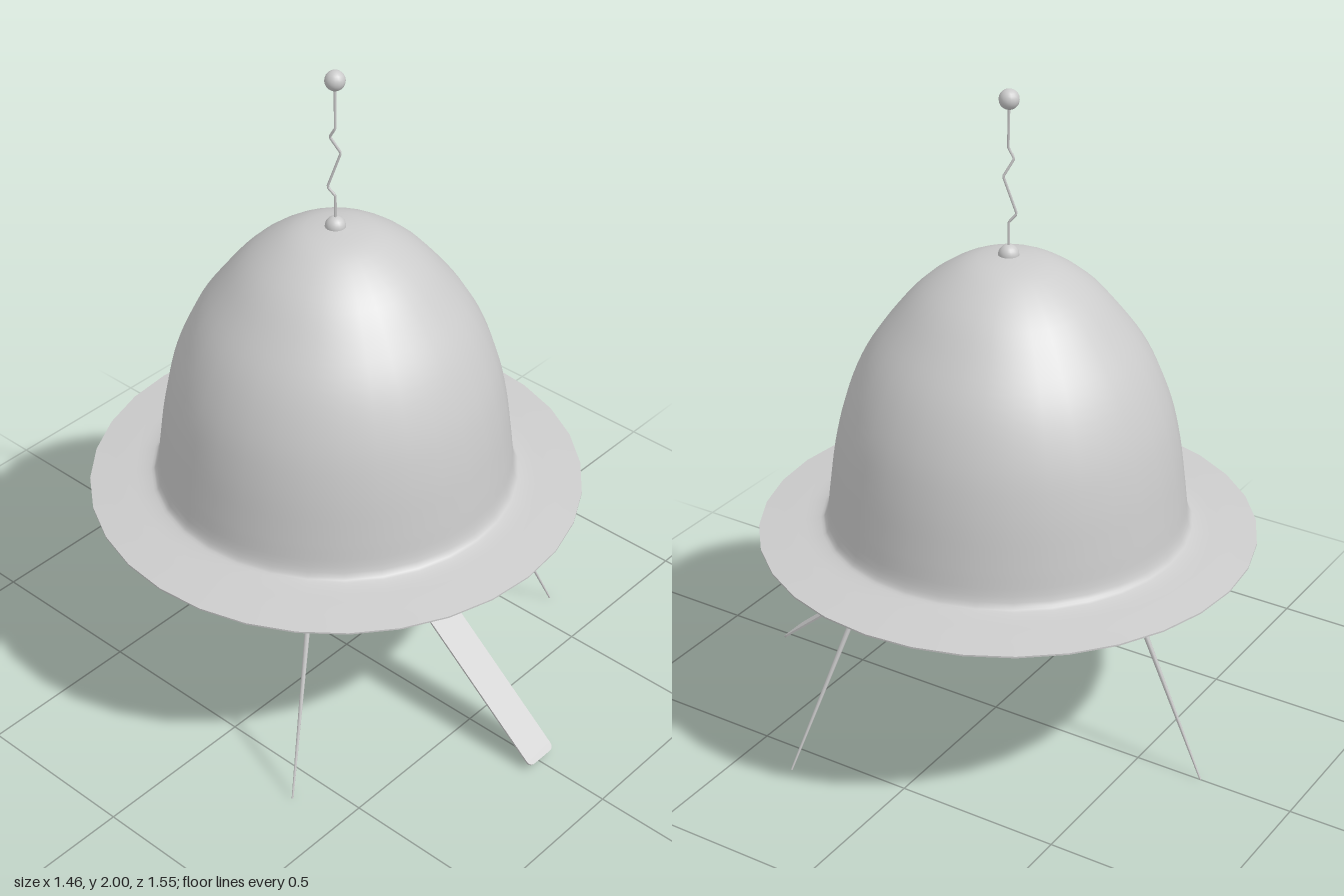
import * as THREE from 'three';

const material = new THREE.MeshStandardMaterial({ color: 0xcccccc, side: THREE.DoubleSide });
const SEGMENTS = 32;
const AXIS_Z = -0.042; // the hull's axis sits slightly behind the origin
const HATCH_HALF = 0.055;

function add(parent, name, geometry, x = 0, y = 0, z = 0) {
  const mesh = new THREE.Mesh(geometry, material);
  mesh.name = name;
  mesh.position.set(x, y, z);
  parent.add(mesh);
  return mesh;
}

const toPoints = (pairs) => pairs.map(([r, y]) => new THREE.Vector2(r, y));
const smooth = (pairs, n) => new THREE.SplineCurve(toPoints(pairs)).getPoints(n)
  .map((p) => p.setX(Math.max(p.x, 0)));
const lathe = (points) => new THREE.LatheGeometry(points, SEGMENTS);

// Lathe whose sweep is squeezed round a straight-sided slot facing +z
function slottedLathe(points, halfWidth) {
  const geo = new THREE.LatheGeometry(points, SEGMENTS);
  const { position, normal, uv } = geo.attributes;
  const up = new THREE.Vector3(0, 1, 0), v = new THREE.Vector3();
  for (let i = 0; i < position.count; i++) {
    const gap = Math.asin(halfWidth / Math.hypot(position.getX(i), position.getZ(i)));
    const turn = gap * (1 - 2 * uv.getX(i));
    for (const attribute of [position, normal]) {
      v.fromBufferAttribute(attribute, i).applyAxisAngle(up, turn);
      attribute.setXYZ(i, v.x, v.y, v.z);
    }
  }
  return geo;
}

// Tapered rod between two points
function rod(parent, name, from, to, rFrom, rTo) {
  const dir = to.clone().sub(from);
  const mesh = add(parent, name, new THREE.CylinderGeometry(rTo, rFrom, dir.length(), 8));
  mesh.position.copy(from).addScaledVector(dir, 0.5);
  mesh.quaternion.setFromUnitVectors(new THREE.Vector3(0, 1, 0), dir.normalize());
}

function buildHull() {
  const hull = new THREE.Group();
  hull.name = 'hull';
  hull.position.z = AXIS_Z;

  // Dome, flaring out into the brim
  add(hull, 'dome', lathe(smooth([
    [0.73, 0.665], [0.64, 0.676], [0.56, 0.687], [0.53, 0.71], [0.517, 0.8], [0.497, 0.945],
    [0.465, 1.08], [0.41, 1.21], [0.335, 1.32], [0.24, 1.425], [0.12, 1.5], [0, 1.52],
  ], 44)));

  // Underside in three bands; the middle one has the hatch opening
  add(hull, 'undersideCentre', lathe(smooth([[0, 0.505], [0.1, 0.507], [0.2, 0.52]], 4)));
  add(hull, 'undersideWithHatch', slottedLathe(
    smooth([[0.2, 0.52], [0.27, 0.535], [0.34, 0.557], [0.41, 0.587]], 8), HATCH_HALF));
  add(hull, 'undersideBrim', lathe(smooth([
    [0.41, 0.587], [0.45, 0.612], [0.49, 0.637], [0.55, 0.65], [0.64, 0.656], [0.73, 0.66],
  ], 14)));
  add(hull, 'brimEdge', lathe(toPoints([[0.73, 0.66], [0.73, 0.665]])));

  // Round lamp below the hull
  add(hull, 'lampRing', lathe(smooth([
    [0.125, 0.495], [0.14, 0.483], [0.16, 0.487], [0.175, 0.502], [0.172, 0.52],
  ], 12)));
  add(hull, 'lamp', new THREE.SphereGeometry(0.13, 24, 16), 0, 0.53, 0);

  // Antenna: foot, crooked wire and tip
  add(hull, 'antennaFoot', new THREE.SphereGeometry(0.03, 16, 8, 0, Math.PI * 2, 0, Math.PI / 2), 0, 1.518, 0);
  const wire = new THREE.CurvePath();
  const bends = [
    [0, 1.53, 0], [0, 1.615, 0], [-0.01, 1.64, -0.02], [0.01, 1.75, 0.012],
    [-0.01, 1.8, -0.011], [-0.006, 1.83, 0.006], [0, 1.96, 0],
  ].map((p) => new THREE.Vector3(...p));
  for (let i = 1; i < bends.length; i++) wire.add(new THREE.LineCurve3(bends[i - 1], bends[i]));
  add(hull, 'antennaWire', new THREE.TubeGeometry(wire, 60, 0.004, 6));
  add(hull, 'antennaTip', new THREE.SphereGeometry(0.029, 16, 12), 0, 1.971, 0);
  return hull;
}

// Three splayed legs with ball joints
function buildLegs() {
  const legs = new THREE.Group();
  legs.name = 'legs';
  for (const angle of [Math.PI / 3, -Math.PI / 3, Math.PI]) {
    const leg = new THREE.Group();
    leg.name = 'leg';
    const at = (r, y) => new THREE.Vector3(r * Math.sin(angle), y, r * Math.cos(angle) - 0.015);
    const joint = at(0.44, 0.557);
    add(leg, 'legJoint', new THREE.SphereGeometry(0.026, 16, 12), joint.x, joint.y, joint.z);
    rod(leg, 'legRod', joint, at(0.694, 0.002), 0.009, 0.003);
    legs.add(leg);
  }
  return legs;
}

// Boarding ramp with rounded lower corners
function buildRamp() {
  const top = new THREE.Vector3(0, 0.58, 0.107), foot = new THREE.Vector3(0, 0.017, 0.772);
  const length = top.distanceTo(foot), w = HATCH_HALF, c = 0.02;
  const shape = new THREE.Shape();
  shape.moveTo(-w, length);
  shape.lineTo(-w, c);
  shape.quadraticCurveTo(-w, 0, -w + c, 0);
  shape.lineTo(w - c, 0);
  shape.quadraticCurveTo(w, 0, w, c);
  shape.lineTo(w, length);
  const geo = new THREE.ExtrudeGeometry(shape, { depth: 0.006, bevelEnabled: false, curveSegments: 6 });
  const ramp = new THREE.Mesh(geo, material);
  ramp.name = 'ramp';
  ramp.position.copy(foot);
  ramp.rotation.x = -Math.atan2(foot.z - top.z, top.y - foot.y);
  return ramp;
}

// Curved hatch door hanging open from the slot's inner edge
function buildHatch() {
  const line = new THREE.SplineCurve(toPoints([[0.157, 0.52], [0.16, 0.414], [0.177, 0.34], [0.204, 0.286]])).getPoints(10);
  const outline = new THREE.Shape([
    ...line,
    ...line.slice().reverse().map((p) => new THREE.Vector2(p.x - 0.005, p.y)),
  ]);
  const geo = new THREE.ExtrudeGeometry(outline, { depth: HATCH_HALF * 2, bevelEnabled: false });
  geo.translate(0, 0, -HATCH_HALF).rotateY(-Math.PI / 2);
  const hatch = new THREE.Mesh(geo, material);
  hatch.name = 'hatchDoor';
  return hatch;
}

export function createModel() {
  const model = new THREE.Group();
  model.name = 'saucerLander';
  model.add(buildHull(), buildLegs(), buildRamp(), buildHatch());
  return model;
}
